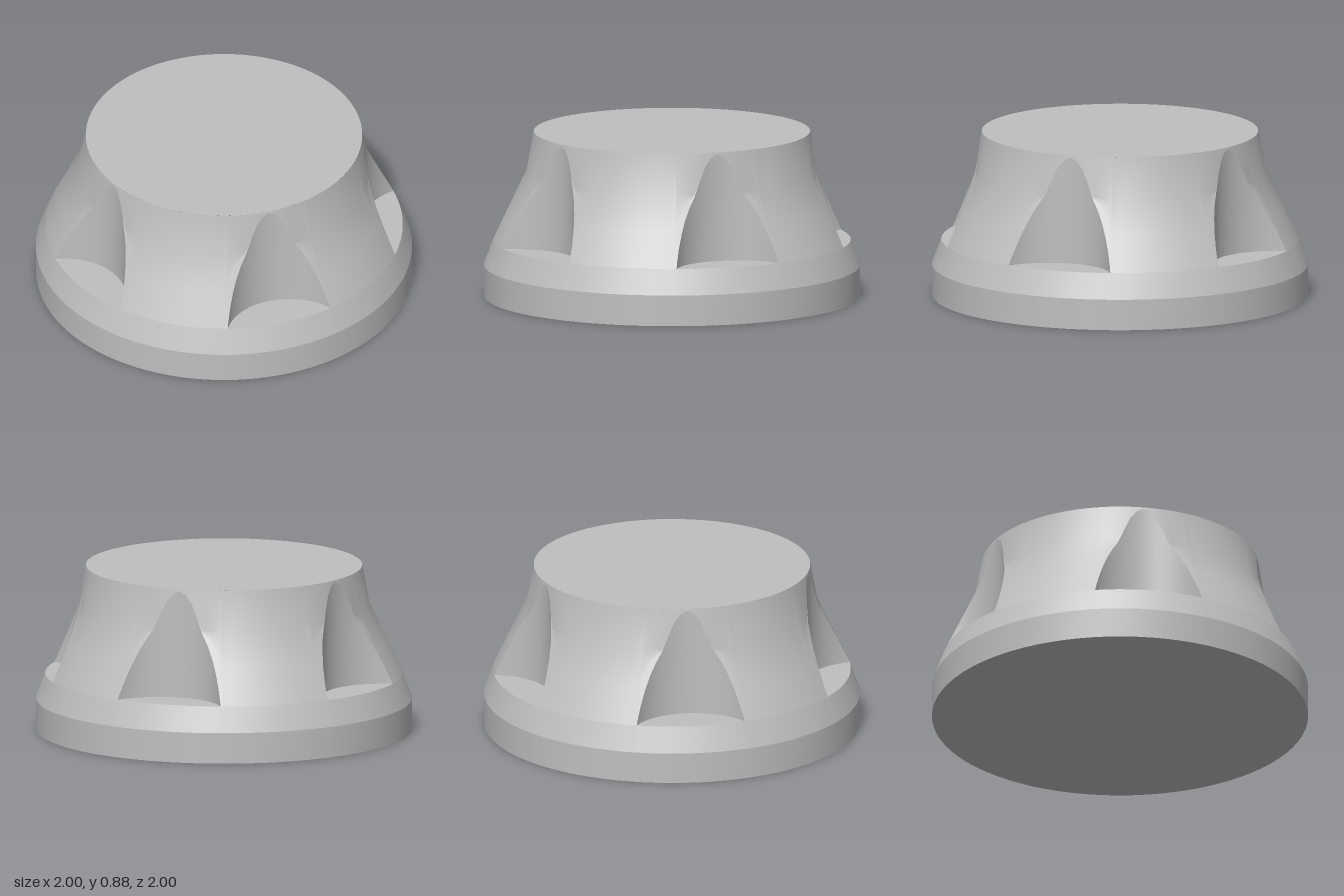
import * as THREE from 'three';

// Main profile: radius and height of each ring
const BASE = { r: 1, y: 0.165 }, LEDGE = { r: 0.95, y: 0.3 };
const NECK = { r: 0.774, y: 0.67 }, TOP = { r: 0.735, y: 0.885 };
// Notch cutter: vertical cylinder of radius CUT at distance DIST from the axis
const DIST = 1.07, CUT = 0.333, NOTCHES = 5;

const mix = (a, b, v, from, to) => a + (b - a) * (v - from) / (to - from);
const radiusAt = y => y < NECK.y
  ? mix(LEDGE.r, NECK.r, y, LEDGE.y, NECK.y)
  : mix(NECK.r, TOP.r, y, NECK.y, TOP.y);
const heightAt = r => r > NECK.r
  ? mix(LEDGE.y, NECK.y, r, LEDGE.r, NECK.r)
  : Math.min(TOP.y, mix(NECK.y, TOP.y, r, NECK.r, TOP.r));

// One column per angle: where the notch wall stands and where it meets the body
function makeColumns() {
  const end = Math.acos((DIST ** 2 + LEDGE.r ** 2 - CUT ** 2) / (2 * DIST * LEDGE.r));
  const half = Math.PI / NOTCHES, steps = 10, columns = [];
  const offsets = [];
  for (let k = -steps; k <= steps; k++) offsets.push(end * Math.sin(k / steps * Math.PI / 2));
  for (let k = 1; k < 12; k++) offsets.push(end + (half - end) * 2 * k / 12);
  for (let n = 0; n < NOTCHES; n++) {
    for (const d of offsets) {
      let wall = LEDGE.r;
      if (Math.abs(d) < end - 1e-6) {
        wall = DIST * Math.cos(d) - Math.sqrt(CUT ** 2 - (DIST * Math.sin(d)) ** 2);
      }
      const angle = Math.PI + n * 2 * half + d;
      columns.push({ angle, wall, rim: wall < LEDGE.r ? heightAt(wall) : LEDGE.y });
    }
  }
  return columns;
}

// Closed ring surface; rows(column) lists [radius, height] from the outside or bottom up
function band(name, columns, rows, material) {
  const positions = [], index = [], count = columns.length;
  let m = 0;
  for (const c of columns) {
    const points = rows(c);
    m = points.length;
    for (const [r, y] of points) positions.push(r * Math.sin(c.angle), y, r * Math.cos(c.angle));
  }
  for (let i = 0; i < count; i++) {
    for (let j = 0; j < m - 1; j++) {
      const a = i * m + j, b = ((i + 1) % count) * m + j;
      index.push(a, b, b + 1, a, b + 1, a + 1);
    }
  }
  const geometry = new THREE.BufferGeometry();
  geometry.setAttribute('position', new THREE.Float32BufferAttribute(positions, 3));
  geometry.setIndex(index);
  geometry.computeVertexNormals();
  const mesh = new THREE.Mesh(geometry, material);
  mesh.name = name;
  return mesh;
}

export function createModel() {
  const group = new THREE.Group();
  group.name = 'notchedKnob';
  const grey = new THREE.MeshStandardMaterial({ color: 0xbfbfbf });
  grey.name = 'plain grey';
  const columns = makeColumns();

  group.add(
    band('baseRim', columns, () => [[BASE.r, 0], [BASE.r, BASE.y]], grey),
    band('lowerSlope', columns, () => [[BASE.r, BASE.y], [LEDGE.r, LEDGE.y]], grey),
    band('notchFloors', columns, c => [[LEDGE.r, LEDGE.y], [c.wall, LEDGE.y]], grey),
    band('notchWalls', columns, c => [[c.wall, LEDGE.y], [c.wall, c.rim]], grey),
    // Body above the notches, following the profile up to the top
    band('upperBody', columns, c => {
      const knee = Math.max(c.rim, NECK.y);
      return [c.rim, (c.rim + knee) / 2, knee, TOP.y].map(y => [radiusAt(y), y]);
    }, grey)
  );

  // Flat end faces
  const top = new THREE.Mesh(new THREE.CircleGeometry(TOP.r, 80), grey);
  top.name = 'topFace';
  top.rotation.x = -Math.PI / 2;
  top.position.y = TOP.y;
  const bottom = new THREE.Mesh(new THREE.CircleGeometry(BASE.r, 80), grey);
  bottom.name = 'bottomFace';
  bottom.rotation.x = Math.PI / 2;
  group.add(top, bottom);
  return group;
}
